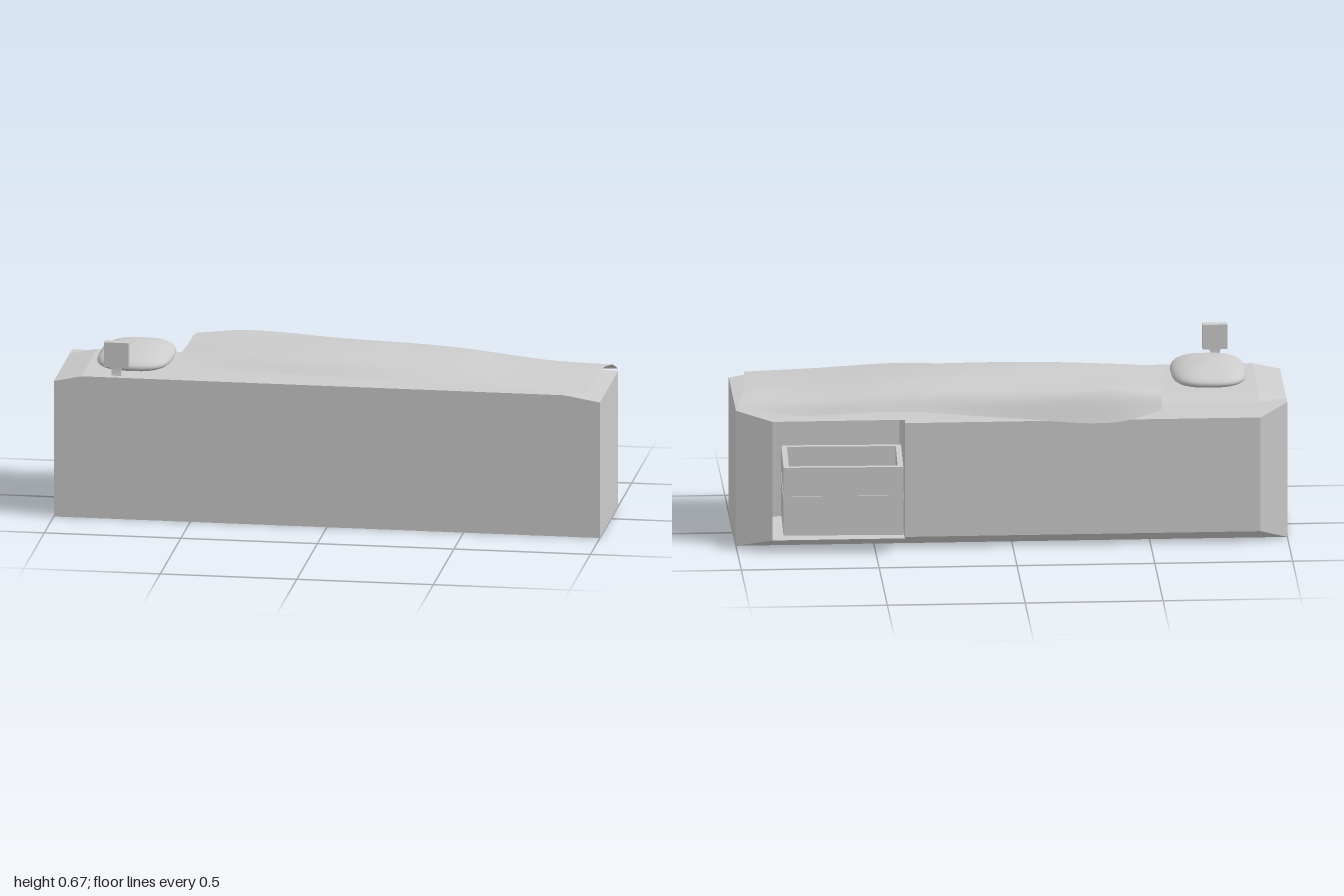
import * as THREE from 'three';
import { mergeVertices } from 'three/addons/utils/BufferGeometryUtils.js';

const grey = () => new THREE.MeshStandardMaterial({ color: 0xcccccc });

function addMesh(parent, name, geometry, x = 0, y = 0, z = 0, material = grey()) {
  const mesh = new THREE.Mesh(geometry, material);
  mesh.name = name;
  mesh.position.set(x, y, z);
  parent.add(mesh);
  return mesh;
}

// Box given by its limits
function addBox(parent, name, x0, x1, y0, y1, z0, z1) {
  return addMesh(parent, name, new THREE.BoxGeometry(x1 - x0, y1 - y0, z1 - z0),
    (x0 + x1) / 2, (y0 + y1) / 2, (z0 + z1) / 2);
}

// Bed body: chamfered cross-sections along x, with a drawer recess in the back
function bedGeometry() {
  const pos = [];
  const tri = (a, b, c) => {
    const ab = new THREE.Vector3().subVectors(b, a), ac = new THREE.Vector3().subVectors(c, a);
    if (ab.cross(ac).length() > 1e-7) for (const p of [a, b, c]) pos.push(p.x, p.y, p.z);
  };
  const quad = (a, b, c, d) => { tri(a, b, c); tri(a, c, d); };
  const V = (x, y, z) => new THREE.Vector3(x, y, z);

  const endLoop = x => [[0.27, 0], [0.27, 0.508], [-0.115, 0.508], [-0.175, 0.508],
    [-0.175, 0.508], [-0.175, 0], [-0.175, 0]].map(([z, y]) => V(x, y, z));
  const midLoop = (x, back, top, low) => [[0.27, 0], [0.27, 0.53], [-0.115, 0.53], [-0.175, 0.508],
    [back, top], [back, low], [-0.175, 0]].map(([z, y]) => V(x, y, z));

  const x0 = 0.39, x1 = 0.87, y0 = 0.031, y1 = 0.477, zb = -0.222;
  const loops = [endLoop(-1), midLoop(-0.9, -0.235, 0.468, 0.04), midLoop(x0, -0.235, 0.468, 0.04),
    midLoop(x0, zb, y1, y0), midLoop(x1, zb, y1, y0), endLoop(1)];
  for (let i = 0; i < loops.length - 1; i++) {
    const a = loops[i], b = loops[i + 1];
    for (let j = 0; j < 7; j++) {
      if (i === 3 && j === 4) continue; // opening for the drawer
      const k = (j + 1) % 7;
      quad(a[j], b[j], b[k], a[k]);
    }
  }
  const l = loops[0], r = loops[5];
  quad(r[0], r[6], r[3], r[1]);
  quad(l[1], l[3], l[6], l[0]);

  // Recess walls and back
  const corners = z => [V(x1, y0, z), V(x0, y0, z), V(x0, y1, z), V(x1, y1, z)];
  const rim = corners(zb), deep = corners(0.1);
  quad(...deep);
  for (let j = 0; j < 4; j++) {
    const k = (j + 1) % 4;
    quad(rim[j], rim[k], deep[k], deep[j]);
  }
  const g = new THREE.BufferGeometry();
  g.setAttribute('position', new THREE.Float32BufferAttribute(pos, 3));
  g.computeVertexNormals();
  return g;
}

// Pillow: a sphere squared off in plan and flattened underneath
function pillowGeometry() {
  const g = new THREE.SphereGeometry(1, 28, 16);
  const p = g.attributes.position;
  const soft = v => Math.sign(v) * Math.pow(Math.abs(v), 0.68);
  for (let i = 0; i < p.count; i++) {
    const x = p.getX(i), y = p.getY(i), z = p.getZ(i);
    const rad = Math.hypot(x, z), a = Math.atan2(z, x);
    p.setXYZ(i, 0.137 * rad * soft(Math.cos(a)), y * (y > 0 ? 0.044 : 0.034), 0.188 * rad * soft(Math.sin(a)));
  }
  g.deleteAttribute('uv');
  g.deleteAttribute('normal');
  const merged = mergeVertices(g, 1e-5);
  merged.computeVertexNormals();
  return merged;
}

// Blanket: smooth sheet through cross-sections of [z, y], from front edge to back hem
function blanketGeometry() {
  const sections = [
    [-0.575, -0.535, [0.16, 0.56], [0.08, 0.575], [-0.06, 0.575], [-0.18, 0.583], [-0.25, 0.565], [-0.29, 0.515]],
    [-0.38, -0.36, [0.18, 0.55], [0.1, 0.585], [-0.05, 0.588], [-0.16, 0.592], [-0.255, 0.582], [-0.314, 0.48]],
    [0, 0.02, [0.215, 0.55], [0.12, 0.592], [-0.05, 0.603], [-0.15, 0.592], [-0.24, 0.565], [-0.285, 0.495]],
    [0.38, 0.4, [0.25, 0.558], [0.12, 0.582], [-0.05, 0.592], [-0.13, 0.585], [-0.205, 0.56], [-0.25, 0.515]],
    [0.7, 0.77, [0.245, 0.545], [0.12, 0.557], [-0.05, 0.562], [-0.12, 0.553], [-0.18, 0.533], [-0.217, 0.497]],
    [0.945, 0.995, [0.25, 0.535], [0.12, 0.548], [-0.05, 0.552], [-0.1, 0.547], [-0.15, 0.537], [-0.192, 0.512]],
  ];
  const across = sections.map(([xf, xb, ...pts]) => new THREE.CatmullRomCurve3(
    pts.map(([z, y], j) => new THREE.Vector3(xf + (xb - xf) * j / 5, y, z))));
  const nu = 40, nv = 24, pos = [], index = [];
  for (let j = 0; j <= nv; j++) {
    const along = new THREE.CatmullRomCurve3(across.map(c => c.getPoint(j / nv)));
    for (let i = 0; i <= nu; i++) pos.push(...along.getPoint(i / nu).toArray());
  }
  for (let j = 0; j < nv; j++) for (let i = 0; i < nu; i++) {
    const a = j * (nu + 1) + i, b = a + nu + 1;
    index.push(a, a + 1, b + 1, a, b + 1, b);
  }
  const g = new THREE.BufferGeometry();
  g.setAttribute('position', new THREE.Float32BufferAttribute(pos, 3));
  g.setIndex(index);
  g.computeVertexNormals();
  return g;
}

// Open drawer, pulled out of the back and slightly askew
function makeDrawer() {
  const d = new THREE.Group();
  d.name = 'drawer';
  const w = 0.217, h = 0.255, t = 0.02, depth = 0.3;
  addBox(d, 'drawerBottom', -w, w, 0, t, 0, depth);
  addBox(d, 'drawerFront', -w, w, t, h, 0, t);
  addBox(d, 'drawerBack', -w, w, t, h, depth - t, depth);
  for (const s of [-1, 1]) {
    const a = s * w, b = s * (w - t);
    addBox(d, 'drawerSide', Math.min(a, b), Math.max(a, b), t, h, t, depth - t);
    addBox(d, 'drawerRail', a - 0.002, a + 0.002, 0.13, 0.153, 0.005, depth);
  }
  addBox(d, 'drawerTrim', -w, w, 0.135, 0.148, -0.003, 0.004);
  d.position.set(0.618, 0.07, -0.305);
  d.rotation.y = -0.032;
  return d;
}

// Small clock on a flared stem, its dial facing the bed
function makeClock() {
  const c = new THREE.Group();
  c.name = 'clock';
  addBox(c, 'clockCase', -0.045, 0.045, 0.032, 0.124, -0.016, 0.016);
  const stem = new THREE.BoxGeometry(1, 0.032, 1, 1, 4, 1);
  const p = stem.attributes.position;
  for (let i = 0; i < p.count; i++) {
    const k = p.getY(i) / 0.032 + 0.5; // 0 at the foot, 1 at the case
    const flare = Math.pow(1 - k, 2);
    p.setX(i, p.getX(i) * (0.036 + 0.01 * k - 0.03 * k * (1 - k)));
    p.setZ(i, p.getZ(i) * (0.02 + 0.008 * flare));
  }
  const flat = stem.toNonIndexed();
  flat.computeVertexNormals();
  addMesh(c, 'clockStem', flat, 0, 0.016, 0);
  for (const [len, angle] of [[0.03, 0.9], [0.022, -0.6]]) {
    const hand = new THREE.BoxGeometry(0.004, len, 0.002);
    hand.translate(0, len / 2, 0);
    addMesh(c, 'clockHand', hand, 0, 0.078, -0.0165).rotation.z = angle;
  }
  c.position.set(-0.765, 0.549, 0.299);
  return c;
}

export function createModel() {
  const bed = new THREE.Group();
  bed.name = 'bed';
  addMesh(bed, 'bedBody', bedGeometry());
  addMesh(bed, 'pillow', pillowGeometry(), -0.727, 0.562, 0.063);
  const cloth = grey();
  cloth.side = THREE.DoubleSide;
  addMesh(bed, 'blanket', blanketGeometry(), 0, 0, 0, cloth);
  bed.add(makeDrawer(), makeClock());
  return bed;
}
